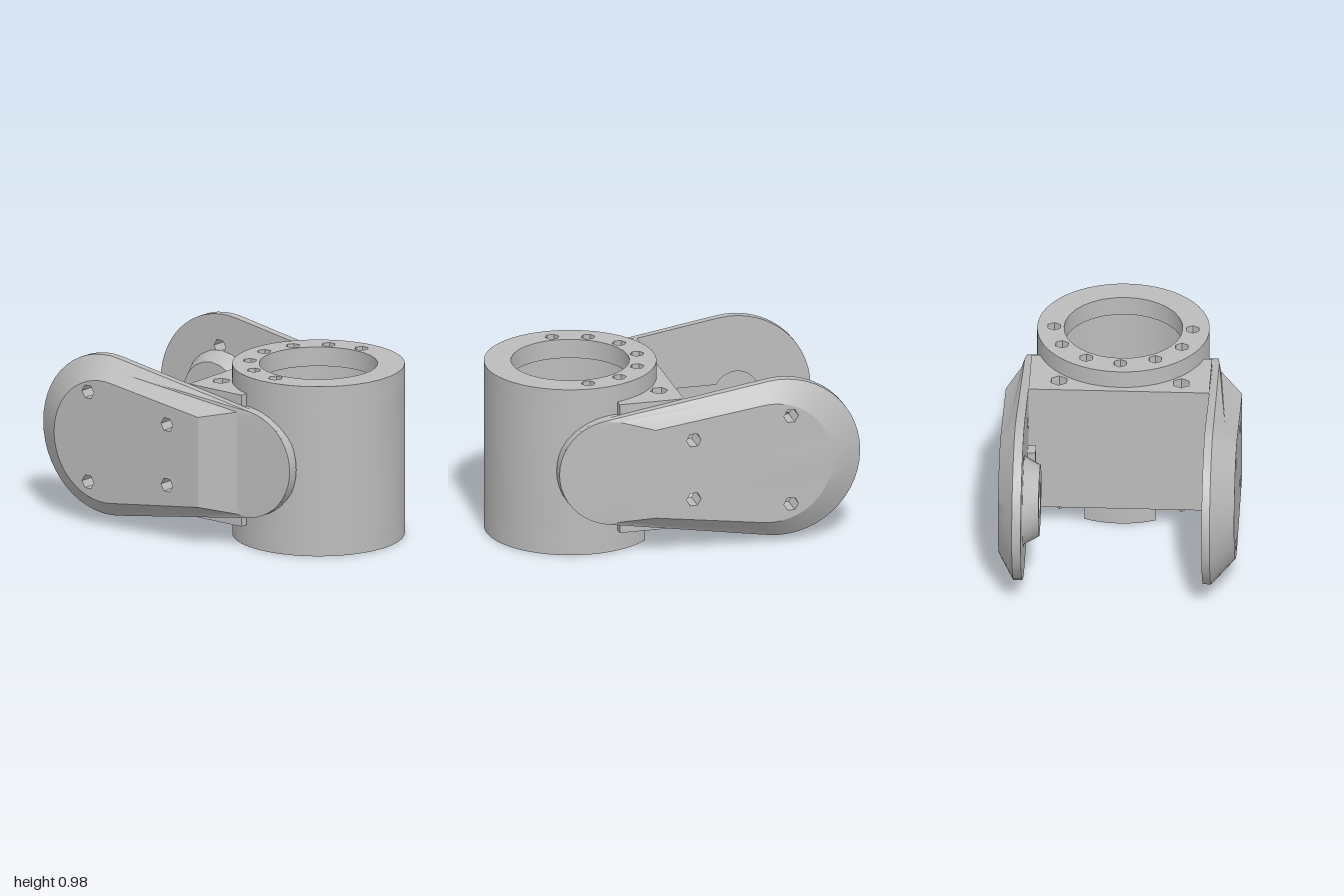
import * as THREE from 'three';
import { mergeGeometries, toCreasedNormals } from 'three/addons/utils/BufferGeometryUtils.js';

const CX = 0.52, CZ = -0.02, PHI = 1.41;
const SCREWS = [[-0.58, 0.77], [-0.58, 0.25], [-0.02, 0.68], [-0.02, 0.33]];

// points on an arc, both ends included
function arc(cx, cy, r, a0, a1, n) {
  return Array.from({ length: n + 1 }, (_, i) => {
    const a = a0 + (a1 - a0) * i / n;
    return [cx + r * Math.cos(a), cy + r * Math.sin(a)];
  });
}
const circle = (x, y, r, n) => arc(x, y, r, 0, Math.PI * 2, n).slice(0, n);
const vec = pts => pts.map(p => new THREE.Vector2(p[0], p[1]));
function shapeOf(pts, holes = []) {
  const s = new THREE.Shape(vec(pts));
  s.holes = holes.map(h => new THREE.Path(vec(h)));
  return s;
}

// skin through closed rings; flip turns the faces round
function skin(rings, flip) {
  const pos = [];
  for (let k = 0; k < rings.length - 1; k++) {
    const A = rings[k], B = rings[k + 1], n = A.length;
    for (let i = 0; i < n; i++) {
      const j = (i + 1) % n;
      const tri = [A[i], A[j], B[j], A[i], B[j], B[i]];
      if (flip) tri.reverse();
      tri.forEach(p => pos.push(...p));
    }
  }
  const g = new THREE.BufferGeometry();
  g.setAttribute('position', new THREE.Float32BufferAttribute(pos, 3));
  return g;
}

// flat face at height z
function face(pts, holes, z, flip) {
  const src = new THREE.ShapeGeometry(shapeOf(pts, holes)).toNonIndexed();
  const p = src.attributes.position, pos = [];
  for (let i = 0; i < p.count; i += 3) {
    for (const k of flip ? [2, 1, 0] : [0, 1, 2]) pos.push(p.getX(i + k), p.getY(i + k), z);
  }
  const g = new THREE.BufferGeometry();
  g.setAttribute('position', new THREE.Float32BufferAttribute(pos, 3));
  return g;
}

const at = (pts, z) => pts.map(p => [p[0], p[1], z]);

// horn-shaped recess: a bar with a round hub
function hornOutline() {
  const a = Math.asin(0.06 / 0.13), P = Math.PI;
  return [[-0.9, 0.44], ...arc(-0.57, 0.5, 0.13, P + a, 2 * P - a, 8), [-0.2, 0.44],
    [-0.2, 0.56], ...arc(-0.57, 0.5, 0.13, a, P - a, 8), [-0.9, 0.56]];
}

// bevelled side arm; s is +1 in front, -1 behind.
// With a recess its screw holes are blind, otherwise they go through.
function armGeometry(s, inner, rim, toe, cap, recess) {
  const K = 20, M = 28, flip = s < 0;
  const outline = [...arc(0.41, 0.5, 0.31, -PHI, PHI, K), ...arc(-0.54, 0.5, 0.46, PHI, 2 * Math.PI - PHI, M)];
  const chord = (x, h) => Array.from({ length: K + 1 }, (_, i) => [x, 0.5 - h + 2 * h * i / K]);
  const top = [...chord(0.2, 0.26), ...arc(-0.47, 0.5, 0.35, PHI, 2 * Math.PI - PHI, M)];
  const edge = outline.map(([x, y]) => [x, y, x > 0.38 ? rim + (toe - rim) * (x - 0.38) / 0.34 : rim]);
  const knee = chord(0.38, 0.295);
  const mid = outline.map((p, i) => i <= K ? [...knee[i], rim + s * 0.005]
    : [(p[0] + top[i][0]) / 2, (p[1] + top[i][1]) / 2, (rim + cap) / 2]);
  const holes = SCREWS.map(([x, y]) => circle(x, y, 0.042, 6));
  const screwFloor = recess ? inner + s * 0.07 : inner;
  const parts = [
    skin([at(outline, inner), edge, mid, at(top, cap)], flip),
    face(top, holes, cap, flip),
    face(outline, recess ? [recess] : holes, inner, !flip),
    ...holes.map(h => skin([at(h, screwFloor), at(h, cap)], !flip)),
  ];
  if (recess) {
    const floor = inner + s * 0.04;
    parts.push(skin([at(recess, inner), at(recess, floor)], !flip), face(recess, [], floor, !flip));
    holes.forEach(h => parts.push(face(h, [], screwFloor, flip)));
  }
  return toCreasedNormals(mergeGeometries(parts), 0.45);
}

// upright slab from a plan in (x, -z)
function slab(shape, y0, y1) {
  const g = new THREE.ExtrudeGeometry(shape, { depth: y1 - y0, bevelEnabled: false });
  g.rotateX(-Math.PI / 2).translate(0, y0, 0);
  return toCreasedNormals(g, 0.45);
}

export function createModel() {
  const group = new THREE.Group();
  const grey = new THREE.MeshStandardMaterial({ color: 0xbcbcbc, side: THREE.DoubleSide });
  grey.name = 'light grey';
  const add = (name, geo) => {
    const m = new THREE.Mesh(geo, grey);
    m.name = name;
    group.add(m);
    return m;
  };
  const P = Math.PI, cy = -CZ;

  // round housing: thin wall, slotted foot, drilled top ring
  add('housingWall', slab(shapeOf(circle(CX, cy, 0.48, 56), [circle(CX, cy, 0.45, 56)]), 0.12, 0.87));
  const band = (a0, a1, n) => shapeOf([...arc(CX, cy, 0.48, a0, a1, n), ...arc(CX, cy, 0.45, a1, a0, n)]);
  add('housingFoot', slab(band(-0.75 * P, 0.75 * P, 42), 0, 0.12));
  add('footTab', slab(band(0.865 * P, 1.135 * P, 10), 0, 0.12));
  const bolts = [-3, -2, -1, 0, 1, 2, 3].map(i => {
    const a = P + i * P / 6;
    return circle(CX + 0.385 * Math.cos(a), cy + 0.385 * Math.sin(a), 0.04, 6);
  });
  add('topRing', slab(shapeOf(circle(CX, cy, 0.48, 56), [circle(CX, cy, 0.33, 32), ...bolts]), 0.87, 0.98));

  // square block joining housing and arms
  const a = Math.acos(-0.15 / 0.45), end = CX - 0.15;
  const block = [[0, -0.48], [end, -0.48], ...arc(CX, cy, 0.45, 2 * P - a, a, 20), [end, 0.525], [0, 0.525]];
  add('joiningBlock', slab(shapeOf(block, [circle(0.1, 0.36, 0.05, 6), circle(0.1, -0.32, 0.05, 6)]), 0.12, 0.88));

  // side arms and the round pads behind their small ends
  add('frontArm', armGeometry(1, 0.48, 0.525, 0.49, 0.655, hornOutline()));
  add('backArm', armGeometry(-1, -0.525, -0.575, -0.535, -0.66, null));
  for (const [name, z] of [['frontPad', 0.43], ['backPad', -0.53]]) {
    const g = new THREE.ExtrudeGeometry(shapeOf(circle(0.41, 0.5, 0.31, 40)), { depth: 0.06, bevelEnabled: false });
    add(name, toCreasedNormals(g.translate(0, 0, z), 0.45));
  }

  // bearing boss and small clip inside the back arm
  const profile = [[0.25, 0], [0.2, 0.09], [0.1, 0.09], [0.1, 0.01], [0, 0.01]];
  const boss = new THREE.LatheGeometry(vec(profile), 20);
  boss.rotateX(P / 2).translate(-0.57, 0.5, -0.527);
  add('bearingBoss', toCreasedNormals(boss, 0.45));
  add('clip', new THREE.BoxGeometry(0.08, 0.1, 0.05)).position.set(-0.1, 0.5, -0.505);

  return group;
}
